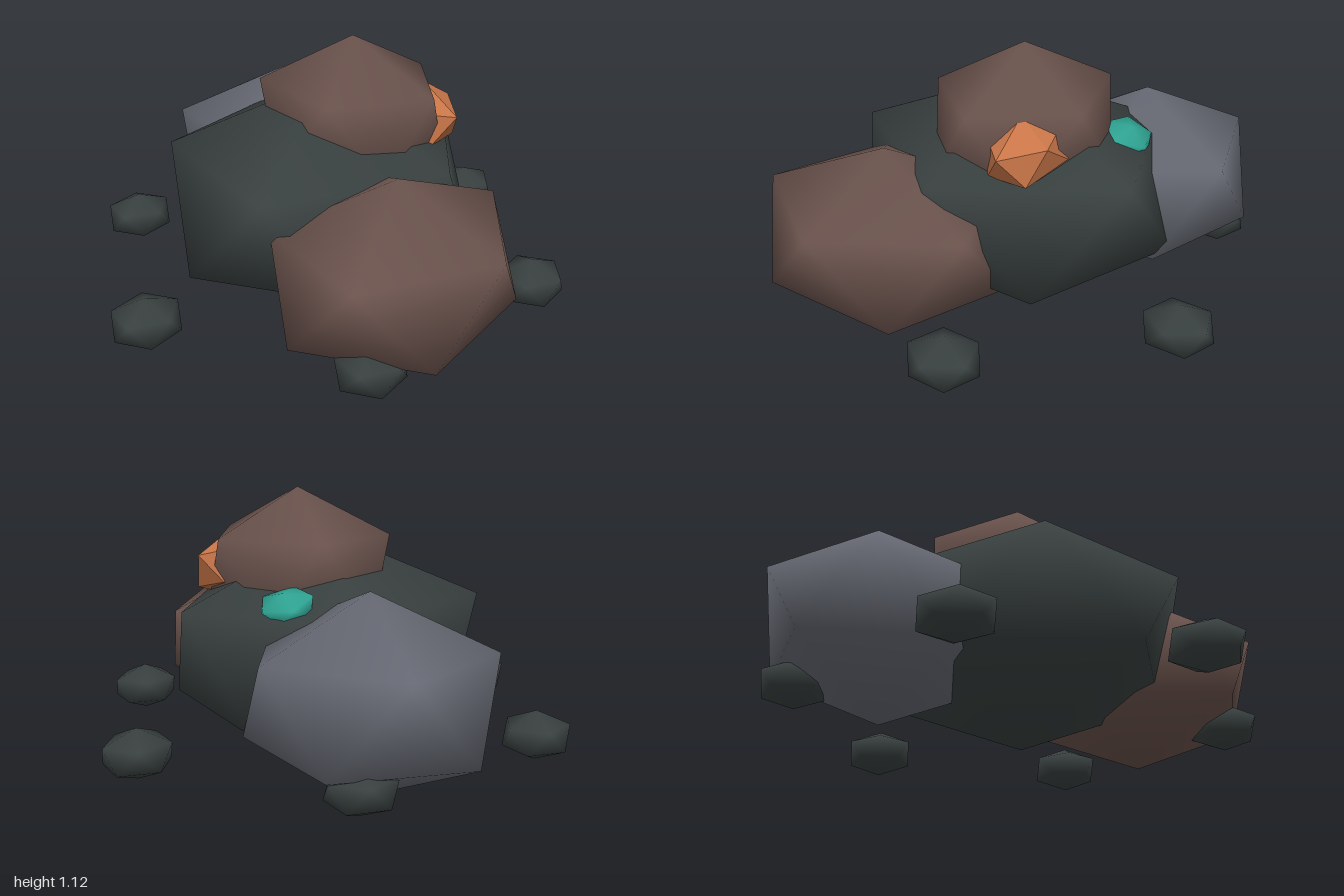
import * as THREE from 'three';

// Twenty-sided rock standing on a vertex: two poles and two staggered rings of five
function rockGeometry(rx, ry, rz) {
  const positions = [0, ry, 0];
  const ringY = 1 / Math.sqrt(5), ringR = 2 / Math.sqrt(5);
  for (const level of [1, -1]) {
    for (let i = 0; i < 5; i++) {
      const a = (i + (level < 0 ? 0.5 : 0)) * Math.PI * 2 / 5;
      positions.push(rx * ringR * Math.cos(a), ry * ringY * level, rz * ringR * Math.sin(a));
    }
  }
  positions.push(0, -ry, 0);
  const index = [];
  for (let i = 0; i < 5; i++) {
    const j = (i + 1) % 5;
    const u = 1 + i, uNext = 1 + j, l = 6 + i, lNext = 6 + j;
    index.push(0, uNext, u, u, uNext, l, l, uNext, lNext, 11, l, lNext);
  }
  const geometry = new THREE.BufferGeometry();
  geometry.setAttribute('position', new THREE.Float32BufferAttribute(positions, 3));
  geometry.setIndex(index);
  geometry.computeVertexNormals();
  return geometry;
}

function material(name, color) {
  const m = new THREE.MeshStandardMaterial({ color });
  m.name = name;
  return m;
}

export function createModel() {
  const group = new THREE.Group();
  group.name = 'rockPile';

  const darkStone = material('darkStone', 0x394140);
  const brownStone = material('brownStone', 0x6b534d);
  const greyStone = material('greyStone', 0x666973);
  const orangeOre = material('orangeOre', 0xc87548);
  const tealOre = material('tealOre', 0x2fa392);

  const addRock = (name, mat, size, position) => {
    const mesh = new THREE.Mesh(rockGeometry(...size), mat);
    mesh.name = name;
    mesh.position.set(...position);
    group.add(mesh);
    return mesh;
  };

  // Boulders
  addRock('mainBoulder', darkStone, [0.67, 0.47, 0.747], [0, 0.47, 0]);
  addRock('leftBoulder', brownStone, [0.503, 0.365, 0.576], [0.53, 0.385, 0.26]);
  addRock('rightBoulder', greyStone, [0.537, 0.39, 0.507], [-0.48, 0.41, -0.335]);
  addRock('topBoulder', brownStone, [0.43, 0.34, 0.394], [0.08, 0.78, -0.085]);

  // Ore lumps set into the slopes
  const orange = addRock('orangeOreLump', orangeOre, [0.21, 0.14, 0.165], [0.287, 0.8, -0.237]);
  orange.geometry = orange.geometry.toNonIndexed();
  orange.geometry.computeVertexNormals();
  orange.rotation.z = -0.25;
  const teal = addRock('tealOreLump', tealOre, [0.125, 0.055, 0.112], [-0.155, 0.715, -0.42]);
  teal.rotation.x = -0.38;

  // Ring of six pebbles
  for (let i = 0; i < 6; i++) {
    const a = -0.3 + i * Math.PI / 3;
    addRock('pebble' + (i + 1), darkStone, [0.144, 0.1, 0.155],
      [0.89 * Math.cos(a), 0.18, 0.89 * Math.sin(a)]);
  }
  return group;
}
